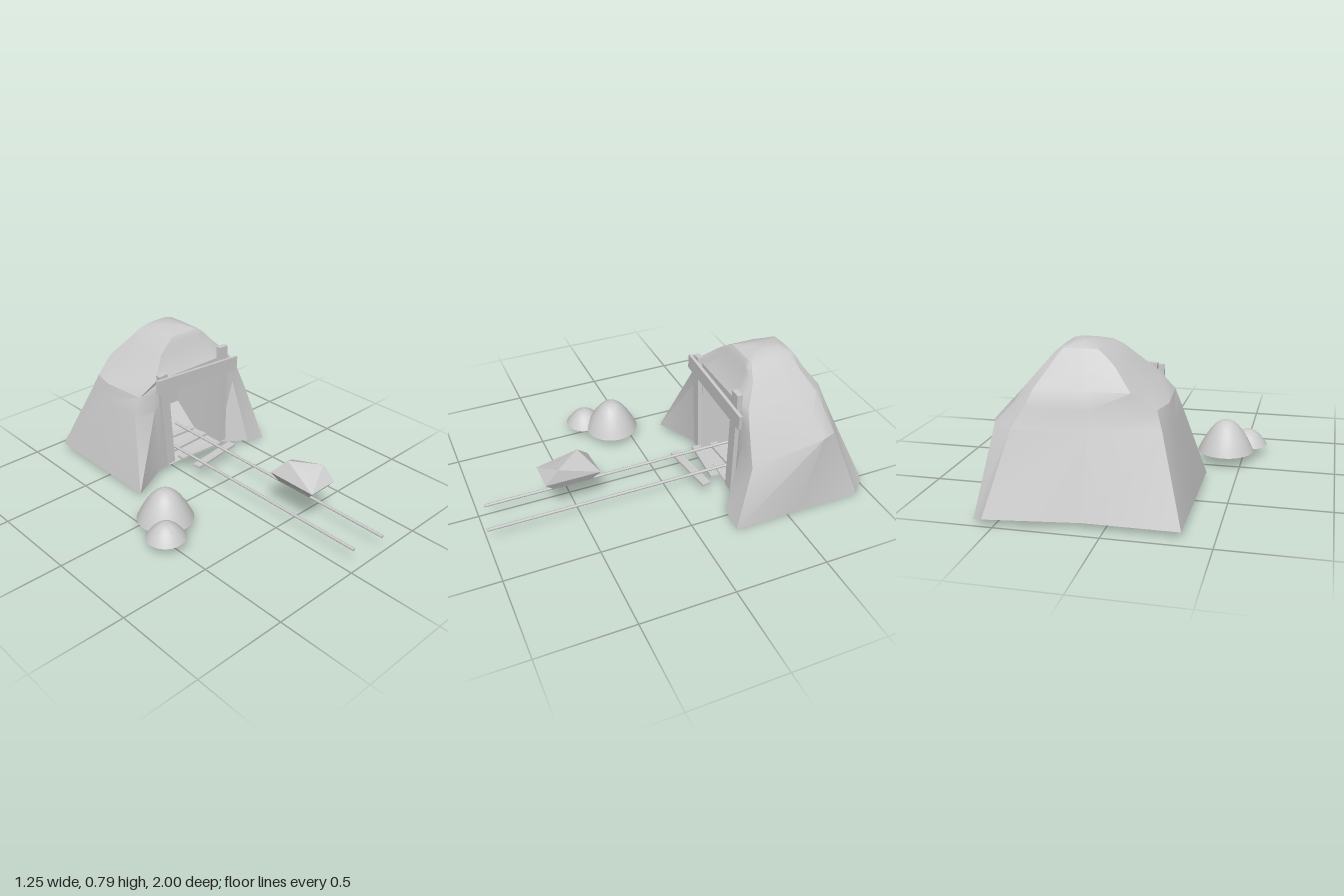
import * as THREE from 'three';
import { toCreasedNormals } from 'three/addons/utils/BufferGeometryUtils.js';

const grey = new THREE.MeshStandardMaterial({ color: 0xcccccc, side: THREE.DoubleSide });
const faceted = new THREE.MeshStandardMaterial({ color: 0xcccccc, flatShading: true, side: THREE.DoubleSide });

function add(parent, name, geometry, material = grey) {
  const mesh = new THREE.Mesh(geometry, material);
  mesh.name = name;
  parent.add(mesh);
  return mesh;
}

function toGeometry(points, index) {
  const g = new THREE.BufferGeometry();
  g.setAttribute('position', new THREE.Float32BufferAttribute(points.flat(), 3));
  g.setIndex(index);
  g.computeVertexNormals();
  return g;
}

// Joins closed rings of points; skip(level, column) leaves a quad open.
function loft(rings, { capStart = false, capEnd = false, skip = () => false } = {}) {
  const n = rings[0].length, points = rings.flat(), index = [];
  for (let i = 0; i < rings.length - 1; i++) {
    for (let j = 0; j < n; j++) {
      if (skip(i, j)) continue;
      const k = (j + 1) % n;
      const a = i * n + j, b = i * n + k, c = a + n, d = b + n;
      index.push(a, b, d, a, d, c);
    }
  }
  const cap = (level, flip) => {
    const ring = rings[level];
    const mid = [0, 1, 2].map((q) => ring.reduce((s, p) => s + p[q], 0) / n);
    const m = points.push(mid) - 1;
    for (let j = 0; j < n; j++) {
      const a = level * n + j, b = level * n + (j + 1) % n;
      if (flip) index.push(m, b, a); else index.push(m, a, b);
    }
  };
  if (capStart) cap(0, true);
  if (capEnd) cap(rings.length - 1, false);
  return toGeometry(points, index);
}

// Hill: rings run front left -> doorway -> front right -> back -> left side
function hill() {
  const base = [
    [-0.35, 0.035, -0.19], [-0.12, 0.035, -0.305], [-0.04, 0.035, -0.31], [0.35, 0.035, -0.31],
    [0.49, 0.035, -0.2], [0.62, 0.005, -0.2], [0.62, 0.005, -0.56], [0.62, 0.005, -0.93],
    [0.55, 0.04, -1], [0.1, 0.035, -0.93], [-0.35, 0.035, -0.93], [-0.35, 0.035, -0.55]];
  const middle = [
    [-0.25, 0.42, -0.34], [-0.14, 0.42, -0.305], [-0.04, 0.42, -0.31], [0.35, 0.42, -0.31],
    [0.45, 0.42, -0.3], [0.56, 0.33, -0.3], [0.59, 0.42, -0.69], [0.56, 0.42, -0.77],
    [0.46, 0.42, -0.83], [0.1, 0.42, -0.83], [-0.23, 0.43, -0.76], [-0.255, 0.42, -0.6]];
  const shoulder = [
    [-0.21, 0.52, -0.34], [-0.13, 0.52, -0.31], [-0.04, 0.52, -0.31], [0.35, 0.52, -0.31],
    [0.44, 0.52, -0.305], [0.49, 0.5, -0.31], [0.5, 0.52, -0.66], [0.47, 0.52, -0.75],
    [0.4, 0.52, -0.8], [0.1, 0.52, -0.8], [-0.2, 0.52, -0.73], [-0.23, 0.52, -0.6]];
  const plan = [[0, 0], [0.1, 0], [0.2, 0], [0.8, 0], [0.9, 0], [1, 0.04],
    [1, 0.6], [0.98, 0.9], [0.88, 1], [0.45, 1], [0.06, 0.97], [0, 0.6]];
  const crown = [
    [0.6, -0.12, 0.43, -0.31, -0.775], [0.7, -0.02, 0.345, -0.38, -0.7],
    [0.74, 0.03, 0.31, -0.39, -0.68], [0.77, 0.08, 0.275, -0.41, -0.66], [0.79, 0.14, 0.22, -0.47, -0.61],
  ].map(([y, x0, x1, z0, z1]) => plan.map(([u, v]) => [x0 + (x1 - x0) * u, y, z0 + (z1 - z0) * v]));
  return loft([base, middle, shoulder, ...crown],
    { capStart: true, capEnd: true, skip: (level, j) => level < 2 && j === 2 });
}

// Lump of rock with a flat base and a notched top
function rock() {
  const p = [
    [0.08, 0.23, 0.64], [0.2, 0.23, 0.64], [0.2, 0.23, 0.43], [0.08, 0.23, 0.43],
    [0.055, 0.275, 0.68], [0.225, 0.28, 0.68], [0.225, 0.28, 0.39], [0.05, 0.28, 0.4],
    [0.1, 0.36, 0.47], [0.13, 0.335, 0.58], [0.215, 0.352, 0.61]];
  const index = [0, 2, 1, 0, 3, 2];
  for (let j = 0; j < 4; j++) {
    const k = (j + 1) % 4;
    index.push(j, k, 4 + k, j, 4 + k, 4 + j);
  }
  index.push(4, 5, 10, 4, 10, 9, 5, 6, 10, 6, 8, 10, 6, 7, 8, 7, 4, 8, 4, 9, 8, 8, 9, 10);
  return toGeometry(p, index);
}

export function createModel() {
  const model = new THREE.Group();
  model.name = 'mineEntrance';

  add(model, 'hill', toCreasedNormals(hill(), 0.5));

  // Tunnel: frames [z, left, right, floor, roof] from the mouth inwards
  const frames = [[-0.31, -0.04, 0.35, 0.035, 0.52], [-0.52, -0.02, 0.34, 0.05, 0.52], [-0.66, -0.01, 0.33, 0.19, 0.51]]
    .map(([z, l, r, f, t]) => [[l, f, z], [l, t, z], [r, t, z], [r, f, z]]);
  add(model, 'tunnel', toCreasedNormals(loft(frames, { capEnd: true }), 0.5));

  // Timber frame
  const box = (parent, name, size, pos, rot) => {
    const mesh = add(parent, name, new THREE.BoxGeometry(...size));
    mesh.position.set(...pos);
    mesh.rotation.set(...rot);
  };
  const frame = new THREE.Group();
  frame.name = 'timberFrame';
  model.add(frame);
  box(frame, 'rightPost', [0.056, 0.57, 0.03], [-0.067, 0.35, -0.298], [0, 0, 0.066]);
  box(frame, 'leftPost', [0.06, 0.615, 0.03], [0.356, 0.362, -0.298], [0, 0, -0.02]);
  box(frame, 'lintel', [0.595, 0.082, 0.018], [0.155, 0.563, -0.275], [0, 0, -0.058]);

  // Track
  const track = new THREE.Group();
  track.name = 'track';
  model.add(track);
  for (const [x, front] of [[0.046, 0.97], [0.231, 1]]) {
    const rail = add(track, 'rail', new THREE.CylinderGeometry(0.008, 0.008, 1.57, 8));
    rail.rotation.x = Math.PI / 2;
    rail.position.set(x, 0.105, front - 0.785);
  }
  for (const [x, z, turn] of [[0.165, -0.147, 0.14], [0.14, -0.25, -0.07], [0.15, -0.37, 0.05], [0.14, -0.49, -0.06]]) {
    box(track, 'sleeper', [z > -0.2 ? 0.325 : 0.28, 0.014, 0.048], [x, 0.092, z], [0, turn, 0]);
  }

  // Spoil heaps
  const profile = [[0, 1], [0.15, 0.985], [0.32, 0.91], [0.5, 0.76], [0.68, 0.54], [0.85, 0.28], [1, 0]];
  for (const [name, x, z, r, h] of [['largeHeap', -0.413, 0.098, 0.15, 0.17], ['smallHeap', -0.52, 0.23, 0.105, 0.083]]) {
    const curve = new THREE.SplineCurve(profile.map(([u, v]) => new THREE.Vector2(u * r, v * h)));
    const outline = [new THREE.Vector2(0, 0), ...curve.getPoints(18).reverse()];
    const heap = add(model, name, toCreasedNormals(new THREE.LatheGeometry(outline, 40), 0.6));
    heap.position.set(x, 0.065, z);
  }

  add(model, 'rock', rock(), faceted);
  return model;
}
